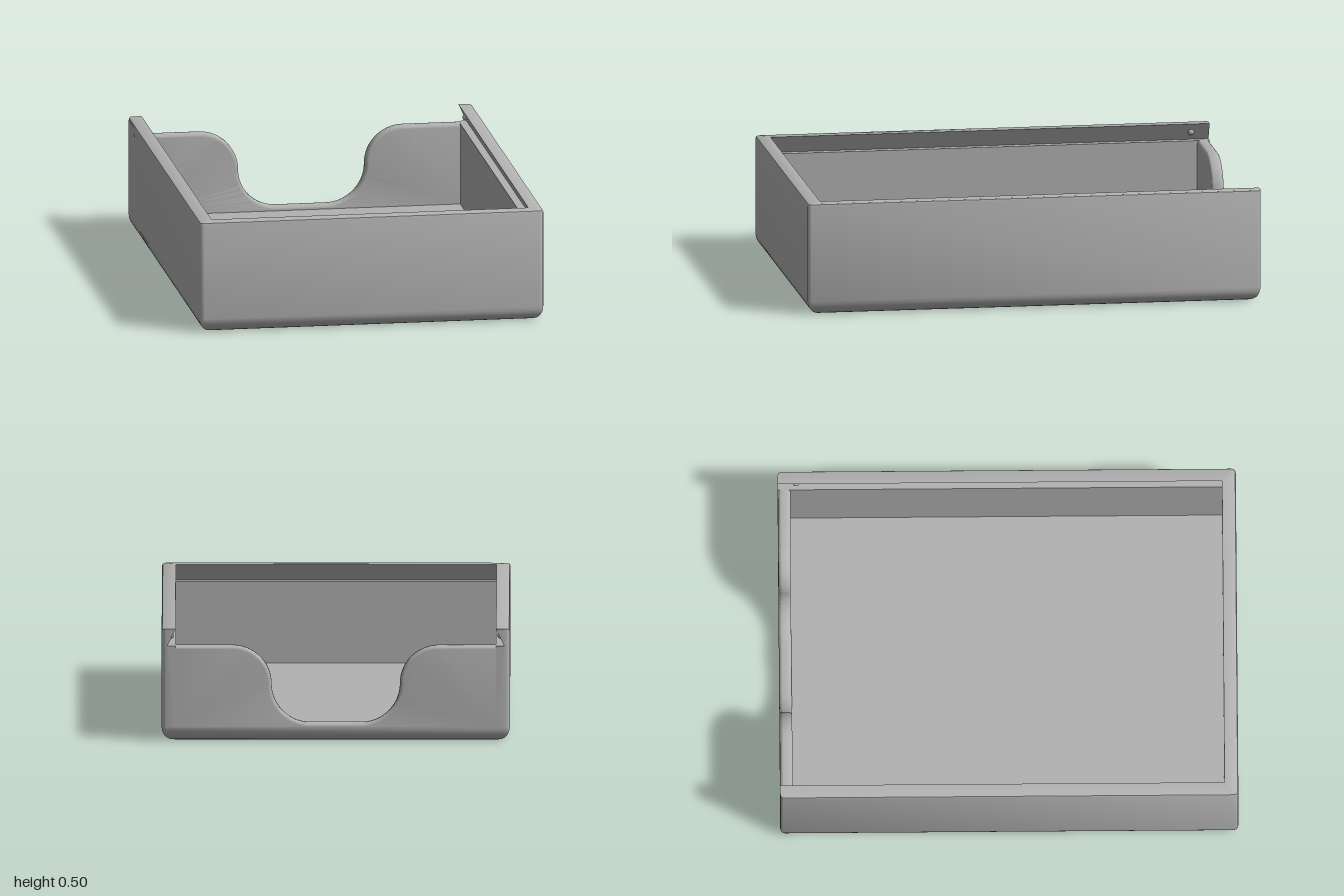
import * as THREE from 'three';
import { toCreasedNormals } from 'three/addons/utils/BufferGeometryUtils.js';

const W = 0.76, L = 1, H = 0.495;            // half width, half length, height
const FLOOR = 0.06, WALL = 0.06, LEDGE = 0.42, R = 0.02;

// Point on a rounded upright corner, moved inwards by an inset
function cornerPoint(sx, sz, a, inset, y) {
  const m = Math.max(R, inset), r = Math.max(R - inset, 0);
  return new THREE.Vector3(sx * (W - m) + r * Math.cos(a), y, sz * (L - m) + r * Math.sin(a));
}

// Point near the open back end of a side wall, rounding its outer edge
function endPoint(sx, t, inset, y) {
  const d = Math.max(inset, R * (1 - Math.cos(t)));
  return new THREE.Vector3(sx * (W - d), y, -L + R - R * Math.sin(t));
}

// Skin a closed profile carried through a list of stations
function sweep(profile, stations, closed) {
  const rows = stations.map((f) => profile.map(([d, y]) => f(d, y)));
  const tris = [], n = profile.length, m = rows.length;
  const add = (a, b, c) => {
    const area = b.clone().sub(a).cross(c.clone().sub(a)).length();
    if (area > 1e-9) tris.push([a, b, c]);
  };
  for (let i = 0; i < (closed ? m : m - 1); i++) {
    const p = rows[i], q = rows[(i + 1) % m];
    for (let j = 0; j < n; j++) {
      const k = (j + 1) % n;
      add(p[j], q[j], q[k]);
      add(p[j], q[k], p[k]);
    }
  }
  if (!closed) {
    const flat = profile.map(([d, y]) => new THREE.Vector2(d, y));
    const sign = Math.sign(THREE.ShapeUtils.area(flat));
    for (const f of THREE.ShapeUtils.triangulateShape(flat.slice(), [])) {
      const same = Math.sign(THREE.ShapeUtils.area(f.map((i) => flat[i]))) === sign;
      const [a, b, c] = same ? f : [f[0], f[2], f[1]];
      add(rows[0][a], rows[0][b], rows[0][c]);
      add(rows[m - 1][a], rows[m - 1][c], rows[m - 1][b]);
    }
  }
  // Turn the faces outwards
  let volume = 0;
  for (const [a, b, c] of tris) volume += a.dot(b.clone().cross(c));
  const points = tris.flatMap(([a, b, c]) => (volume > 0 ? [a, b, c] : [a, c, b]));
  return toCreasedNormals(new THREE.BufferGeometry().setFromPoints(points), 0.6);
}

// Stations round one corner, starting at angle a0
function cornerStations(sx, sz, a0) {
  return [0, 1, 2, 3, 4].map((i) => (d, y) => cornerPoint(sx, sz, a0 + (i * Math.PI) / 8, d, y));
}

// Back wall outline with a wide S-curved finger notch
function backWallGeometry() {
  const bevel = 0.015, low = 0.08, r = (LEDGE - low) / 2, x = 0.28, end = W - 0.03;
  const s = new THREE.Shape();
  s.moveTo(-end, FLOOR - bevel);
  s.lineTo(end, FLOOR - bevel);
  s.lineTo(end, LEDGE);
  s.lineTo(x + r, LEDGE);
  s.absarc(x + r, LEDGE - r, r, Math.PI / 2, Math.PI, false);
  s.absarc(x - r, low + r, r, 0, -Math.PI / 2, true);
  s.lineTo(r - x, low);
  s.absarc(r - x, low + r, r, -Math.PI / 2, -Math.PI, true);
  s.absarc(-x - r, LEDGE - r, r, 0, Math.PI / 2, false);
  s.lineTo(-end, LEDGE);
  const g = new THREE.ExtrudeGeometry(s, {
    depth: 0.055 - 2 * bevel, bevelThickness: bevel, bevelSize: bevel,
    bevelOffset: -bevel, bevelSegments: 4, curveSegments: 18,
  });
  g.translate(0, 0, -L + bevel);
  return toCreasedNormals(g, 0.6);
}

// Underside plate with a cluster of triangular pockets near each corner
function undersideGeometry(depth) {
  const x = W - WALL, z = L - WALL, h = 0.075;
  const s = new THREE.Shape([[-x, -z], [x, -z], [x, z], [-x, z]].map((p) => new THREE.Vector2(...p)));
  for (const cx of [-0.61, 0.61]) for (const cz of [-0.835, 0.835]) {
    for (const sx of [-1, 1]) for (const sz of [-1, 1]) {
      for (const tri of [[[0, 0], [h, 0], [h, h]], [[0, 0], [h, h], [0, h]]]) {
        const mx = (tri[0][0] + tri[1][0] + tri[2][0]) / 3;
        const mz = (tri[0][1] + tri[1][1] + tri[2][1]) / 3;
        s.holes.push(new THREE.Path(tri.map(([px, pz]) => new THREE.Vector2(
          cx + sx * (mx + (px - mx) * 0.85), cz + sz * (mz + (pz - mz) * 0.85)))));
      }
    }
  }
  const g = new THREE.ExtrudeGeometry(s, { depth, bevelEnabled: false });
  g.rotateX(Math.PI / 2);
  g.translate(0, depth, 0);
  return g;
}

export function createModel() {
  const group = new THREE.Group();
  const grey = new THREE.MeshStandardMaterial({ color: 0xb2b2b2 });
  grey.name = 'plain grey';
  const add = (name, geometry) => {
    const mesh = new THREE.Mesh(geometry, grey);
    mesh.name = name;
    group.add(mesh);
    return mesh;
  };

  // Rounded rim of the base
  const rim = [];
  for (let i = 0; i <= 8; i++) {
    const a = (i * Math.PI) / 16;
    rim.push([FLOOR * (1 - Math.sin(a)), FLOOR * (1 - Math.cos(a))]);
  }
  rim.push([WALL, FLOOR]);
  add('baseRim', sweep(rim, [
    ...cornerStations(1, 1, 0), ...cornerStations(-1, 1, Math.PI / 2),
    ...cornerStations(-1, -1, Math.PI), ...cornerStations(1, -1, Math.PI * 1.5),
  ], true));

  // Floor and pocketed underside
  const pocket = 0.04;
  const floor = new THREE.BoxGeometry(2 * (W - WALL), FLOOR - pocket, 2 * (L - WALL));
  add('floor', floor).position.y = (FLOOR + pocket) / 2;
  add('underside', undersideGeometry(pocket));

  // Front and side walls with the undercut lid groove
  const wall = [
    [0, FLOOR], [0, H - 0.01], [0.003, H - 0.003], [0.01, H],
    [WALL, H], [0.025, LEDGE], [WALL, LEDGE], [WALL, FLOOR],
  ];
  const turn = [4, 3, 2, 1, 0].map((i) => (i * Math.PI) / 8);
  add('frontAndSideWalls', sweep(wall, [
    ...turn.map((t) => (d, y) => endPoint(1, t, d, y)),
    ...cornerStations(1, 1, 0), ...cornerStations(-1, 1, Math.PI / 2),
    ...turn.slice().reverse().map((t) => (d, y) => endPoint(-1, t, d, y)),
  ], false));

  add('notchedBackWall', backWallGeometry());

  // Small lid catches in the grooves
  for (const side of [-1, 1]) {
    const catchBump = add(side > 0 ? 'leftLidCatch' : 'rightLidCatch', new THREE.SphereGeometry(0.014, 14, 10));
    catchBump.position.set(side * (W - 0.041), 0.455, -0.92);
  }
  return group;
}
